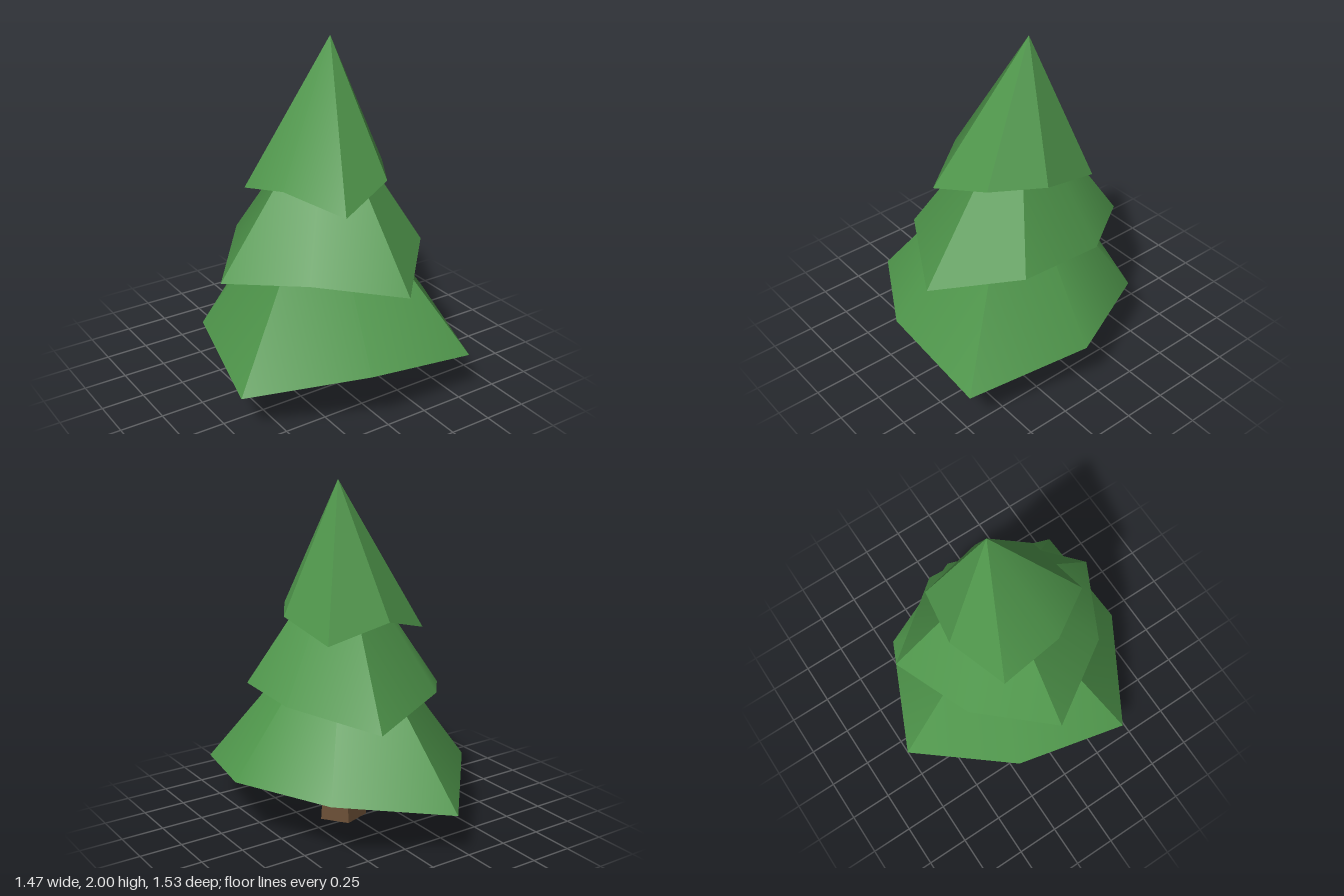
import * as THREE from 'three';
import { toCreasedNormals } from 'three/addons/utils/BufferGeometryUtils.js';

const CREASE = THREE.MathUtils.degToRad(40);

// Closed, irregular cone: apex, a ring of [x, y, z] rim points and the height of the underside's middle
function tierGeometry(apex, rim, underY) {
  const under = [apex[0], underY, apex[2]];
  const positions = [];
  rim.forEach((point, i) => {
    const next = rim[(i + 1) % rim.length];
    positions.push(...apex, ...next, ...point);
    positions.push(...under, ...point, ...next);
  });
  const geometry = new THREE.BufferGeometry();
  geometry.setAttribute('position', new THREE.Float32BufferAttribute(positions, 3));
  return toCreasedNormals(geometry, CREASE);
}

const TIERS = [
  {
    name: 'lowerBranches', apex: [0.03, 1.335, 0.05], underY: 0.41,
    rim: [[-0.15, 0.267, -0.768], [0.473, 0.37, -0.478], [0.732, 0.37, 0.09], [0.55, 0.266, 0.76],
      [-0.13, 0.353, 0.765], [-0.734, 0.25, 0.43], [-0.6, 0.355, -0.25]],
  },
  {
    name: 'middleBranches', apex: [0.07, 1.67, 0.02], underY: 0.87,
    rim: [[0.217, 0.742, -0.577], [0.533, 0.838, -0.14], [0.506, 0.838, 0.34], [0.14, 0.727, 0.725],
      [-0.33, 0.82, 0.475], [-0.617, 0.725, 0.022], [-0.28, 0.835, -0.395]],
  },
  {
    name: 'topBranches', apex: [0.107, 2, -0.002], underY: 1.29,
    rim: [[-0.008, 1.263, -0.325], [0.345, 1.17, -0.263], [0.397, 1.263, 0.1], [0.23, 1.263, 0.375],
      [-0.11, 1.157, 0.482], [-0.31, 1.25, 0.18], [-0.337, 1.157, -0.187]],
  },
];

export function createModel() {
  const foliage = new THREE.MeshStandardMaterial({ name: 'foliageGreen', color: 0x4f964b });
  const bark = new THREE.MeshStandardMaterial({ name: 'barkBrown', color: 0x6b4f36 });
  const tree = new THREE.Group();
  tree.name = 'pineTree';

  // Five-sided, slightly leaning trunk, its top hidden inside the lower branches
  const height = 0.5;
  const trunkGeometry = new THREE.CylinderGeometry(0.105, 0.146, height, 5, 1, false, Math.PI / 2);
  trunkGeometry.translate(0.03, height / 2, 0.09);
  trunkGeometry.applyMatrix4(new THREE.Matrix4().makeShear(0, 0, 0.02, -0.03, 0, 0));
  const trunk = new THREE.Mesh(toCreasedNormals(trunkGeometry, CREASE), bark);
  trunk.name = 'trunk';
  tree.add(trunk);

  // Three stacked tiers of branches
  for (const { name, apex, rim, underY } of TIERS) {
    const tier = new THREE.Mesh(tierGeometry(apex, rim, underY), foliage);
    tier.name = name;
    tree.add(tier);
  }
  return tree;
}
